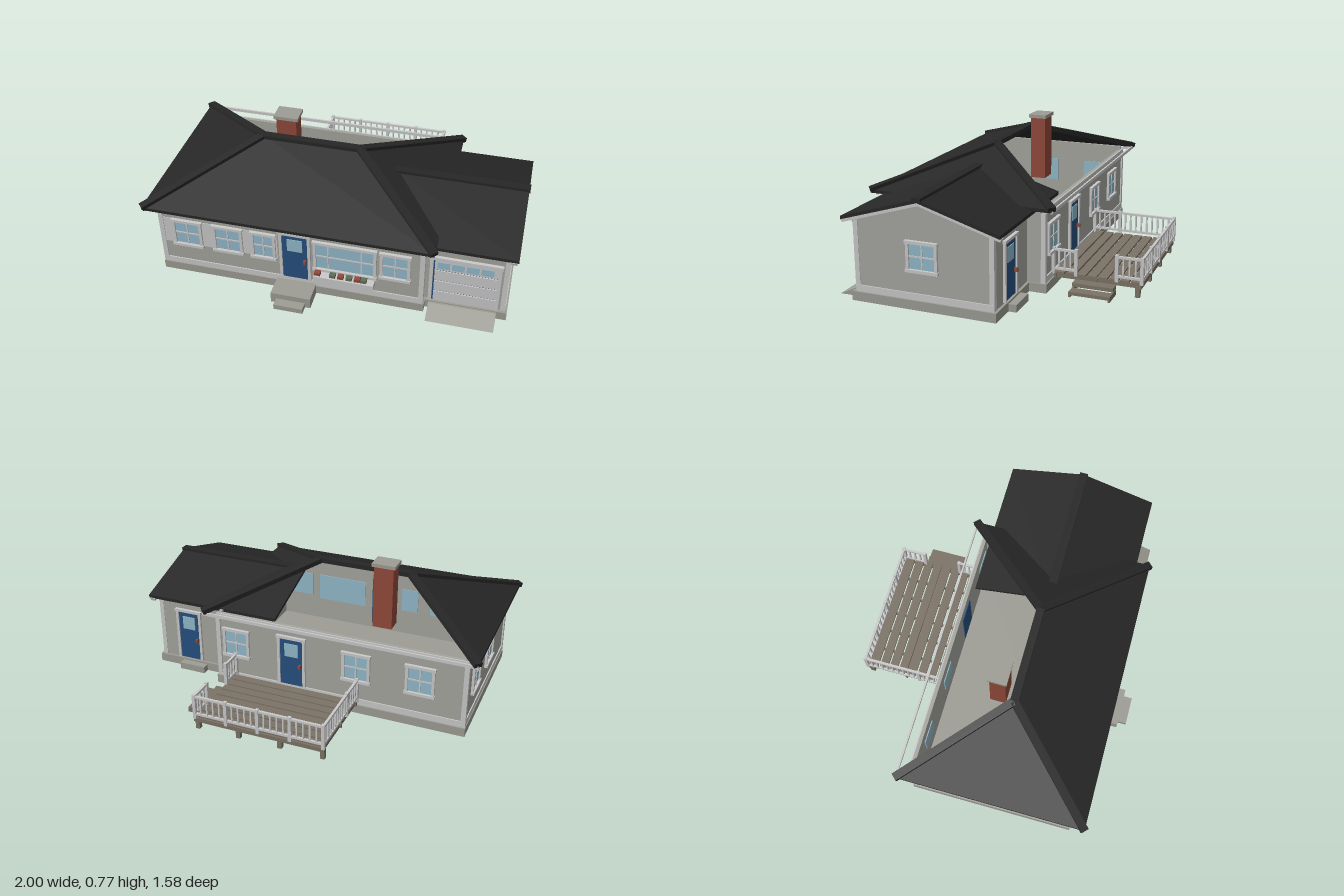
import * as THREE from 'three';
import { ConvexGeometry } from 'three/addons/geometries/ConvexGeometry.js';

const mat = (name, color) => {
  const m = new THREE.MeshStandardMaterial({ color });
  m.name = name;
  return m;
};

export function createModel() {
  const wall = mat('wall grey', 0xa6a6a0), trim = mat('trim white', 0xcacaca);
  const stone = mat('concrete', 0x9d9d95), black = mat('roof black', 0x272727);
  const glass = mat('window glass', 0x93bacb), blue = mat('door blue', 0x26507f);
  const brick = mat('brick red', 0x924a3b), wood = mat('deck wood', 0x7c7366);
  const leaf = mat('plant green', 0x5f6f5a);

  const model = new THREE.Group();
  model.name = 'house';
  const group = (name, parent = model) => {
    const g = new THREE.Group();
    g.name = name;
    parent.add(g);
    return g;
  };
  const add = (parent, name, geo, m) => {
    const mesh = new THREE.Mesh(geo, m);
    mesh.name = name;
    parent.add(mesh);
    return mesh;
  };
  // Box given by its extents
  const box = (p, name, m, x0, x1, y0, y1, z0, z1) => {
    const b = add(p, name, new THREE.BoxGeometry(x1 - x0, y1 - y0, z1 - z0), m);
    b.position.set((x0 + x1) / 2, (y0 + y1) / 2, (z0 + z1) / 2);
    return b;
  };
  // Bar running between two points
  const bar = (p, name, m, a, b, w, h) => {
    const A = new THREE.Vector3(...a), B = new THREE.Vector3(...b);
    const mesh = add(p, name, new THREE.BoxGeometry(w, h, A.distanceTo(B)), m);
    mesh.position.copy(A).lerp(B, 0.5);
    mesh.lookAt(B);
    return mesh;
  };
  // Flat convex panel with thickness measured downwards
  const slab = (p, name, m, pts, t) => add(p, name, new ConvexGeometry(
    pts.flatMap(([x, y, z]) => [new THREE.Vector3(x, y, z), new THREE.Vector3(x, y - t, z)])), m);

  // Foundation, steps and garage ramp
  const base = group('foundation');
  box(base, 'mainFoundation', stone, -0.94, 0.53, 0, 0.05, -0.31, 0.62);
  box(base, 'garageFoundation', stone, 0.53, 0.965, 0, 0.05, -0.215, 0.58);
  box(base, 'frontStepUpper', stone, -0.28, -0.06, 0, 0.063, 0.6, 0.74);
  box(base, 'frontStepLower', stone, -0.25, -0.09, 0, 0.03, 0.7, 0.79);
  box(base, 'backStep', stone, 0, 0.14, 0, 0.05, -0.36, -0.3);
  box(base, 'garageBackStep', stone, 0.65, 0.81, 0, 0.04, -0.257, -0.2);
  add(base, 'garageRamp', new ConvexGeometry([0.55, 0.91].flatMap(x => [
    new THREE.Vector3(x, 0, 0.57), new THREE.Vector3(x, 0.045, 0.57),
    new THREE.Vector3(x, 0.045, 0.59), new THREE.Vector3(x, 0, 0.685)])), stone);

  // Walls: hollow shell, open to the roof space
  const walls = group('walls');
  box(walls, 'frontWall', wall, -0.93, 0.52, 0.05, 0.47, 0.59, 0.61);
  box(walls, 'backWall', wall, -0.93, 0.52, 0.05, 0.45, -0.295, -0.275);
  box(walls, 'rightSideWall', wall, -0.93, -0.91, 0.05, 0.47, -0.29, 0.6);
  box(walls, 'partitionWall', wall, 0.5, 0.52, 0.05, 0.45, -0.29, 0.6);
  box(walls, 'garageFrontWall', wall, 0.52, 0.95, 0.05, 0.44, 0.54, 0.56);
  box(walls, 'garageBackWall', wall, 0.52, 0.95, 0.05, 0.44, -0.2, -0.18);
  const gable = new THREE.Shape([[-0.56, 0.05], [0.2, 0.05], [0.2, 0.43], [-0.18, 0.56], [-0.56, 0.43]]
    .map(([u, y]) => new THREE.Vector2(u, y)));
  const gableWall = add(walls, 'garageGableWall',
    new THREE.ExtrudeGeometry(gable, { depth: 0.02, bevelEnabled: false }), wall);
  gableWall.rotation.y = Math.PI / 2;
  gableWall.position.x = 0.93;

  // Base boards, friezes and corner boards
  const boards = group('wallTrim');
  for (const [y0, y1] of [[0.05, 0.085], [0.43, 0.45]]) {
    box(boards, 'frontBoard', trim, -0.935, 0.52, y0, y1, 0.61, 0.616);
    box(boards, 'backBoard', trim, -0.935, 0.52, y0, y1, -0.302, -0.295);
    box(boards, 'sideBoard', trim, -0.936, -0.93, y0, y1, -0.3, 0.615);
  }
  box(boards, 'garageBaseBoard', trim, 0.95, 0.956, 0.05, 0.085, -0.2, 0.56);
  box(boards, 'garageFrieze', trim, 0.52, 0.955, 0.415, 0.435, 0.56, 0.567);
  box(boards, 'frontBand', trim, -0.93, -0.27, 0.2, 0.365, 0.61, 0.613);
  for (const [x, z] of [[-0.925, 0.603], [0.512, 0.603], [-0.925, -0.29], [0.512, -0.29],
    [0.94, 0.55], [0.94, -0.19]])
    box(boards, 'cornerBoard', trim, x - 0.013, x + 0.013, 0.05, 0.43, z - 0.013, z + 0.013);

  // Local frame on a wall, local z pointing outwards
  const onWall = (name, side, u, z) => {
    const g = group(name);
    if (side === 'front') g.position.set(u, 0, z ?? 0.61);
    if (side === 'back') { g.position.set(u, 0, z ?? -0.295); g.rotation.y = Math.PI; }
    if (side === 'right') { g.position.set(-0.93, 0, u); g.rotation.y = -Math.PI / 2; }
    if (side === 'left') { g.position.set(0.95, 0, u); g.rotation.y = Math.PI / 2; }
    return g;
  };
  const frame = (g, w, y0, y1, t, sill) => {
    for (const s of [-1, 1])
      box(g, 'jamb', trim, s * (w / 2 + t / 2) - t / 2, s * (w / 2 + t / 2) + t / 2, y0, y1, 0, 0.014);
    box(g, 'head', trim, -w / 2 - t * 1.25, w / 2 + t * 1.25, y1, y1 + t, 0, 0.018);
    if (sill) box(g, 'sill', trim, -w / 2 - t * 1.25, w / 2 + t * 1.25, y0 - t, y0, 0, 0.02);
  };
  const windowAt = (side, u, w, y0 = 0.207, y1 = 0.352, splits = [0], z) => {
    const g = onWall('window', side, u, z);
    box(g, 'pane', glass, -w / 2, w / 2, y0, y1, -0.025, 0.005);
    frame(g, w, y0, y1, 0.016, true);
    for (const s of splits) box(g, 'mullion', trim, s - 0.004, s + 0.004, y0, y1, 0.004, 0.009);
    const my = (y0 + y1) / 2;
    box(g, 'crossBar', trim, -w / 2, w / 2, my - 0.004, my + 0.004, 0.004, 0.009);
  };
  const doorAt = (side, u, w, y0, y1, z) => {
    const g = onWall('door', side, u, z);
    box(g, 'doorLeaf', blue, -w / 2, w / 2, y0, y1, -0.025, 0.006);
    box(g, 'doorPane', glass, -w * 0.3, w * 0.3, y1 - 0.11, y1 - 0.03, 0.006, 0.01);
    box(g, 'doorHandle', brick, w * 0.34, w * 0.44, y0 + 0.12, y0 + 0.14, 0.006, 0.025);
    frame(g, w, y0, y1, 0.016, false);
  };
  windowAt('front', -0.777, 0.135);
  windowAt('front', -0.547, 0.135);
  windowAt('front', -0.347, 0.105);
  windowAt('front', 0.1, 0.31, 0.19, 0.355, [-0.09, 0.09]);
  windowAt('front', 0.37, 0.13);
  for (const x of [0.4, -0.32, -0.68]) windowAt('back', x, 0.13);
  for (const z of [-0.11, 0.2]) windowAt('right', z, 0.13);
  windowAt('left', 0.18, 0.14, 0.213, 0.345);
  doorAt('front', -0.172, 0.14, 0.085, 0.385);
  doorAt('back', 0.06, 0.135, 0.085, 0.375);
  doorAt('back', 0.76, 0.13, 0.055, 0.36, -0.2);

  // Flower box below the wide window
  const flowers = group('flowerBox');
  box(flowers, 'planter', trim, -0.06, 0.265, 0.13, 0.166, 0.62, 0.668);
  [-0.042, 0.04, 0.085, 0.13, 0.175, 0.21].forEach((x, i) =>
    box(flowers, 'plant', [brick, leaf][i % 2], x - 0.016, x + 0.016, 0.164, 0.184, 0.63, 0.658));

  // Garage door: pale panels over a blue backing that shows in the gaps
  const gd = onWall('garageDoor', 'front', 0.73, 0.56);
  box(gd, 'backing', blue, -0.168, 0.168, 0.045, 0.34, 0, 0.005);
  for (let i = 0; i < 4; i++) {
    const y = 0.052 + i * 0.073;
    box(gd, 'doorPanel', trim, -0.16, 0.168, y, y + 0.066, 0.005, 0.011);
    box(gd, 'doorPane', glass, -0.147 + i * 0.076, -0.082 + i * 0.076, 0.283, 0.325, 0.011, 0.014);
  }
  frame(gd, 0.336, 0.045, 0.34, 0.018, false);

  // Main hip roof: front and two end slopes, rear slope open
  const roof = group('mainRoof');
  const rl = [-0.47, 0.667, 0.16], rr = [0.07, 0.667, 0.16];
  const fl = [-0.99, 0.472, 0.685], fr = [0.577, 0.472, 0.685];
  const bl = [-0.99, 0.472, -0.355], br = [0.577, 0.472, -0.355];
  slab(roof, 'frontSlope', black, [rl, rr, fr, fl], 0.018);
  slab(roof, 'rightEndSlope', black, [rl, fl, bl], 0.018);
  slab(roof, 'leftEndSlope', black, [rr, fr, br], 0.018);
  for (const [a, b] of [[rl, rr], [rl, fl], [rl, bl], [rr, fr], [rr, br]])
    bar(roof, 'ridgeCap', black, a, b, 0.044, 0.026);
  bar(roof, 'rearEaveBeam', trim, [-0.99, 0.458, -0.352], [0.577, 0.458, -0.352], 0.01, 0.018);
  bar(roof, 'frontFascia', trim, [-0.97, 0.45, 0.655], [0.56, 0.45, 0.655], 0.012, 0.014);
  bar(roof, 'sideFascia', trim, [-0.965, 0.45, -0.33], [-0.965, 0.45, 0.655], 0.012, 0.014);

  // Garage gable roof running into the main roof
  const gRoof = group('garageRoof');
  const slopes = [[0.61, 0.28, 'garageFrontSlope'], [-0.25, 0.18, 'garageRearSlope']];
  for (const [z, x0, name] of slopes) {
    slab(gRoof, name, black,
      [[x0, 0.583, 0.18], [0.99, 0.583, 0.18], [0.99, 0.453, z], [x0, 0.453, z]], 0.018);
    bar(gRoof, 'vergeBoard', trim, [0.967, 0.557, 0.18], [0.967, 0.427, z], 0.03, 0.018);
  }
  bar(gRoof, 'garageRidgeCap', black, [0.27, 0.579, 0.18], [0.995, 0.579, 0.18], 0.048, 0.024);

  // Chimney
  const chimney = group('chimney');
  box(chimney, 'stack', brick, -0.415, -0.302, 0.38, 0.748, 0.008, 0.098);
  box(chimney, 'cap', stone, -0.427, -0.29, 0.746, 0.766, 0, 0.106);

  // Rear deck: boards, joists, legs and side stairs
  const deck = group('deck');
  for (let i = 0; i < 8; i++) {
    const z = -0.775 + i * 0.0585;
    box(deck, 'board', wood, -0.325, 0.41, 0.07, 0.082, z, z + 0.049);
  }
  for (let i = 0; i < 7; i++) {
    const x = -0.32 + i * 0.12;
    box(deck, 'joist', wood, x - 0.006, x + 0.006, 0.05, 0.07, -0.78, -0.31);
  }
  for (const z of [-0.785, -0.55, -0.325])
    box(deck, 'beam', wood, -0.335, 0.415, 0.05, 0.074, z, z + 0.013);
  for (const x of [-0.32, -0.08, 0.16, 0.4])
    box(deck, 'leg', wood, x - 0.012, x + 0.012, 0, 0.06, -0.775, -0.75);
  box(deck, 'stairUpper', wood, 0.412, 0.47, 0.035, 0.055, -0.65, -0.43);
  box(deck, 'stairLower', wood, 0.47, 0.53, 0.012, 0.03, -0.65, -0.43);
  for (const z of [-0.65, -0.44])
    box(deck, 'stringer', wood, 0.412, 0.53, 0, 0.03, z, z + 0.01);

  // Railing run with posts at both ends
  const rail = (x0, z0, x1, z1) => {
    const g = group('railing', deck);
    const n = Math.round(Math.hypot(x1 - x0, z1 - z0) / 0.034);
    for (const y of [0.1, 0.205]) bar(g, 'rail', trim, [x0, y, z0], [x1, y, z1], 0.014, 0.012);
    for (let i = 0; i <= n; i++) {
      const x = x0 + (x1 - x0) * i / n, z = z0 + (z1 - z0) * i / n;
      const post = i === 0 || i === n, r = post ? 0.009 : 0.0045;
      box(g, post ? 'post' : 'baluster', trim, x - r, x + r, post ? 0.07 : 0.1, post ? 0.217 : 0.205, z - r, z + r);
    }
  };
  for (let i = 0; i < 4; i++) rail(-0.33 + i * 0.184, -0.783, -0.33 + (i + 1) * 0.184, -0.783);
  rail(-0.33, -0.783, -0.33, -0.46);
  rail(-0.33, -0.46, -0.33, -0.305);
  rail(0.406, -0.783, 0.406, -0.65);
  rail(0.406, -0.43, 0.406, -0.305);

  return model;
}
